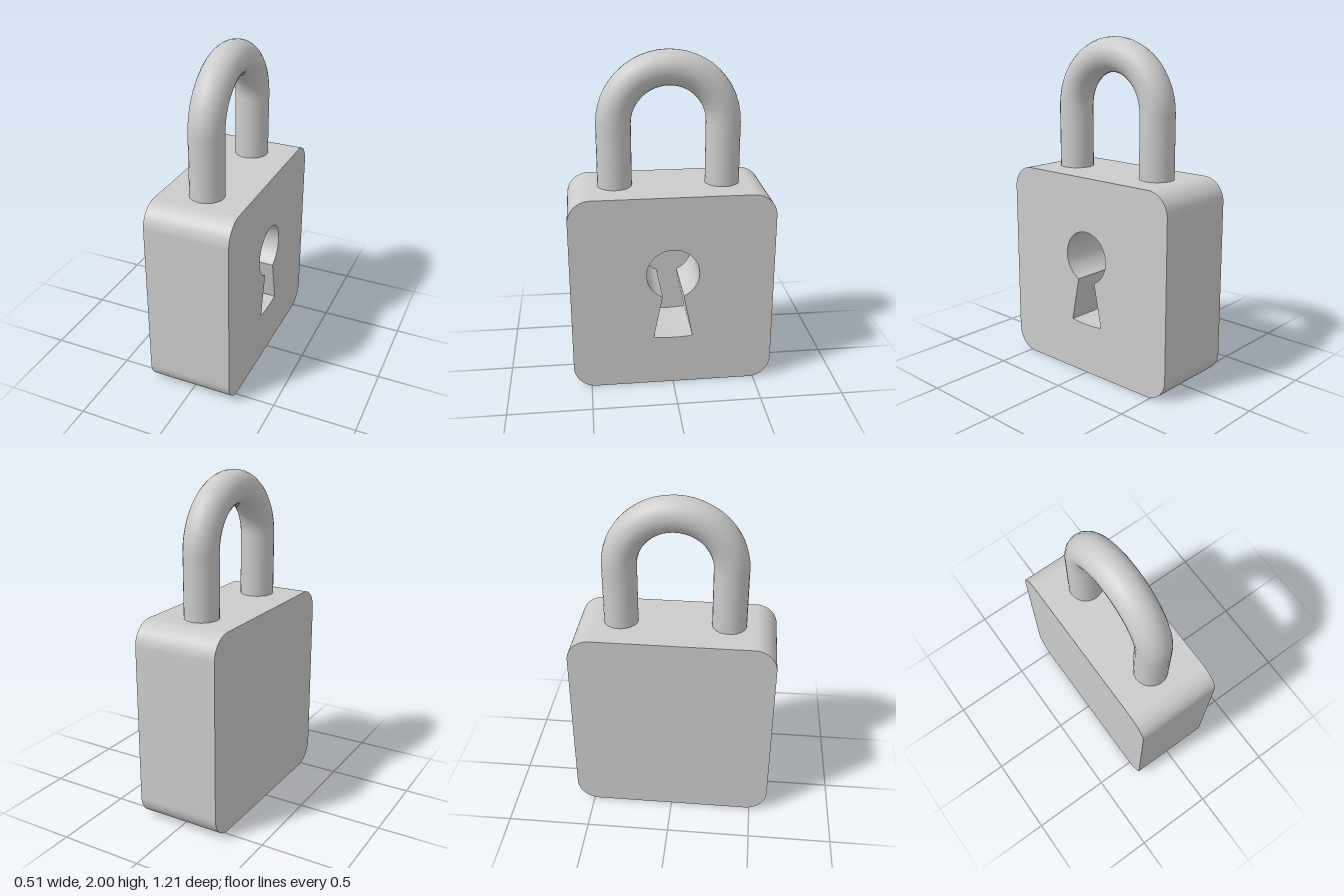
import * as THREE from 'three';
import { mergeGeometries, toCreasedNormals } from 'three/addons/utils/BufferGeometryUtils.js';

const THICK = 0.515, HALF = 0.605, RECESS = 0.38;
const material = new THREE.MeshStandardMaterial({ color: 0xcccccc });

// Square outline with rounded corners, standing on y = 0
function bodyOutline(r = 0.135) {
  const s = new THREE.Shape(), c = HALF - r, top = 2 * HALF - r;
  s.absarc(c, r, r, -Math.PI / 2, 0);
  s.absarc(c, top, r, 0, Math.PI / 2);
  s.absarc(-c, top, r, Math.PI / 2, Math.PI);
  s.absarc(-c, r, r, Math.PI, Math.PI * 1.5);
  s.closePath();
  return s;
}

// Round hole with a flared slot below
function keyholeOutline() {
  const s = new THREE.Shape(), r = 0.157, gap = Math.asin(0.063 / r);
  s.absarc(0, 0.73, r, -Math.PI / 2 + gap, Math.PI * 1.5 - gap);
  s.lineTo(-0.117, 0.317);
  s.quadraticCurveTo(0, 0.303, 0.117, 0.317);
  s.closePath();
  return s;
}

// Extrusion without its front cap; inward = true turns it inside out
function openBox(shape, depth, inward) {
  const g = new THREE.ExtrudeGeometry(shape, { depth, bevelEnabled: false, curveSegments: 16 });
  const p = g.attributes.position, points = [];
  for (let i = 0; i < p.count; i += 3) {
    const tri = [0, 1, 2].map(k => new THREE.Vector3().fromBufferAttribute(p, i + k));
    if (tri.every(v => v.z > depth - 1e-4)) continue;
    if (inward) tri.reverse();
    points.push(...tri);
  }
  const out = new THREE.BufferGeometry().setFromPoints(points);
  out.computeVertexNormals();
  return out;
}

function addMesh(parent, name, geometry) {
  const mesh = new THREE.Mesh(geometry, material);
  mesh.name = name;
  parent.add(mesh);
  return mesh;
}

export function createModel() {
  const model = new THREE.Group();
  model.name = 'padlock';

  // Body: shell, pierced face and blind keyhole recess
  const shell = openBox(bodyOutline(), THICK, false);
  const pierced = bodyOutline();
  pierced.holes.push(keyholeOutline());
  const face = new THREE.ShapeGeometry(pierced, 16).toNonIndexed();
  face.deleteAttribute('uv');
  face.translate(0, 0, THICK);
  const body = toCreasedNormals(mergeGeometries([shell, face]), 0.6);
  const recess = toCreasedNormals(openBox(keyholeOutline(), RECESS, true), 0.5);
  recess.translate(0, 0, THICK - RECESS);
  for (const [name, g] of [['body', body], ['keyhole', recess]]) {
    g.translate(0, 0, -THICK / 2).rotateY(Math.PI / 2);
    addMesh(model, name, g);
  }

  // Shackle: half ring on two straight legs
  const shackle = new THREE.Group();
  shackle.name = 'shackle';
  model.add(shackle);
  const tube = 0.102, radius = 0.32, springY = 1.58, footY = 1.2;
  const bow = new THREE.TorusGeometry(radius, tube, 24, 24, Math.PI);
  addMesh(shackle, 'shackleBow', bow.rotateY(Math.PI / 2).translate(0, springY, 0));
  for (const side of [1, -1]) {
    const leg = new THREE.CylinderGeometry(tube, tube, springY - footY, 24, 1, true);
    leg.translate(0, (springY + footY) / 2, side * radius);
    addMesh(shackle, side > 0 ? 'frontLeg' : 'backLeg', leg);
  }
  return model;
}
